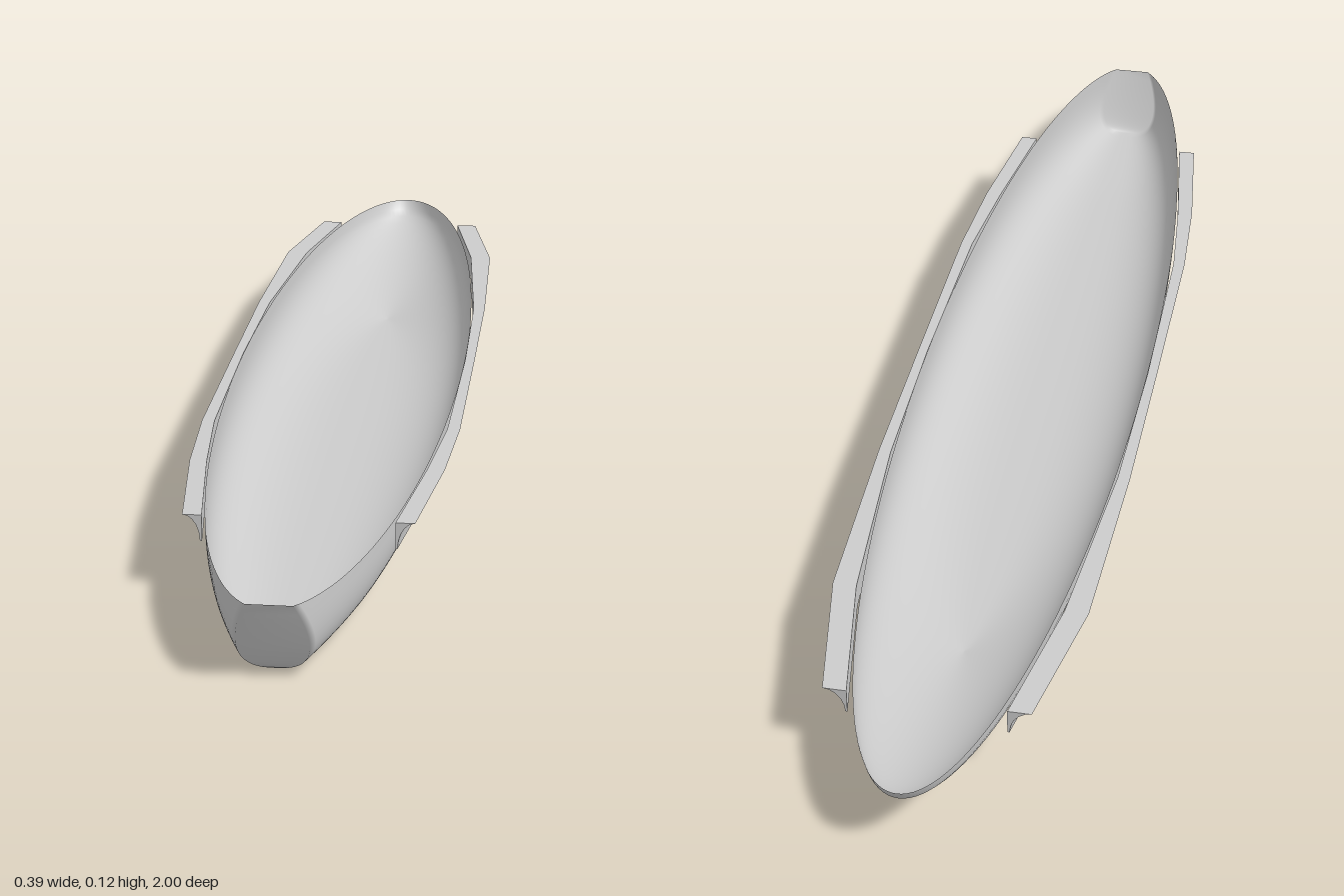
import * as THREE from 'three';
import { mergeVertices, toCreasedNormals } from 'three/addons/utils/BufferGeometryUtils.js';

const HEIGHT = 0.118, BEAM = 0.18, BOW_REACH = 1.015;

function indexed(positions, index) {
  const g = new THREE.BufferGeometry();
  g.setAttribute('position', new THREE.Float32BufferAttribute(positions, 3));
  g.setIndex(index);
  return g;
}

// Open shell: rounded cross-section, raked narrow bow at +z, upswept stern at -z
function hullGeometry() {
  const across = 48, along = 72, pos = [], idx = [];
  for (let i = 0; i <= across; i++) {
    const t = (i / across - 0.5) * Math.PI;
    const side = Math.sign(t);
    const e = i === 0 || i === across ? 0 : Math.pow(Math.cos(t), 2 / 2.8);
    const half = BEAM * Math.pow(Math.abs(Math.sin(t)), 2 / 2.8);
    const sternZ = 0.58 + 0.42 * (1 - e * e);
    const bowAngle = Math.asin((1 - 0.05 * e) / BOW_REACH);
    for (let j = 0; j <= along; j++) {
      const a = THREE.MathUtils.lerp(-Math.PI / 2, bowAngle, j / along);
      const z = Math.sin(a) * (a < 0 ? sternZ : BOW_REACH);
      const x = j === 0 ? 0 : side * half * Math.cos(a);
      const lift = 0.008 * THREE.MathUtils.smoothstep(z, 0.72, 0.96) * e;
      pos.push(x, HEIGHT * (1 - e) + lift, z);
    }
  }
  const row = along + 1;
  for (let i = 0; i < across; i++) {
    for (let j = 0; j < along; j++) {
      const a = i * row + j, b = a + row;
      idx.push(a, b, a + 1, b, b + 1, a + 1);
    }
  }
  // Bow face joins the two sides level by level
  for (let i = 0; i < across / 2; i++) {
    const l0 = i * row + along, l1 = l0 + row;
    const r0 = (across - i) * row + along, r1 = r0 - row;
    idx.push(l0, l1, r0, l1, r1, r0);
  }
  const g = mergeVertices(indexed(pos, idx), 1e-5);
  g.computeVertexNormals();
  return g;
}

// Flared side ledge: z, inner x, outer top x
const LEDGE = [
  [0.71, 0.133, 0.16], [0.5, 0.16, 0.185], [0.33, 0.176, 0.195], [0, 0.181, 0.196],
  [-0.28, 0.177, 0.196], [-0.6, 0.152, 0.187], [-0.82, 0.112, 0.146],
];

function ledgeGeometry(side) {
  const pos = [], idx = [], curve = 6, bottom = 0.08, n = curve + 2;
  for (const [z, inner, outer] of LEDGE) {
    pos.push(side * inner, HEIGHT, z);
    pos.push(side * inner, bottom, z);
    for (let k = 1; k <= curve; k++) {
      // Concave quarter curve from the bottom edge out to the top edge
      const a = ((k - 1) / (curve - 1)) * Math.PI / 2;
      const foot = inner + 0.003;
      pos.push(side * (foot + (outer - foot) * (1 - Math.cos(a))),
        bottom + (HEIGHT - bottom) * Math.sin(a), z);
    }
  }
  const tri = (a, b, c) => (side > 0 ? idx.push(a, b, c) : idx.push(a, c, b));
  for (let s = 0; s < LEDGE.length - 1; s++) {
    for (let k = 0; k < n; k++) {
      const a = s * n + k, b = s * n + (k + 1) % n;
      tri(a, a + n, b);
      tri(b, a + n, b + n);
    }
  }
  // End caps
  const last = (LEDGE.length - 1) * n;
  for (let k = 1; k < n - 1; k++) {
    tri(0, k, k + 1);
    tri(last, last + k + 1, last + k);
  }
  return toCreasedNormals(indexed(pos, idx), 0.45);
}

export function createModel() {
  const group = new THREE.Group();
  group.name = 'boatHull';
  const grey = new THREE.MeshStandardMaterial({ color: 0xcccccc, side: THREE.DoubleSide });
  grey.name = 'light grey';

  const add = (name, geometry) => {
    const mesh = new THREE.Mesh(geometry, grey);
    mesh.name = name;
    group.add(mesh);
  };
  add('hullShell', hullGeometry());
  add('leftSideLedge', ledgeGeometry(1));
  add('rightSideLedge', ledgeGeometry(-1));
  return group;
}
